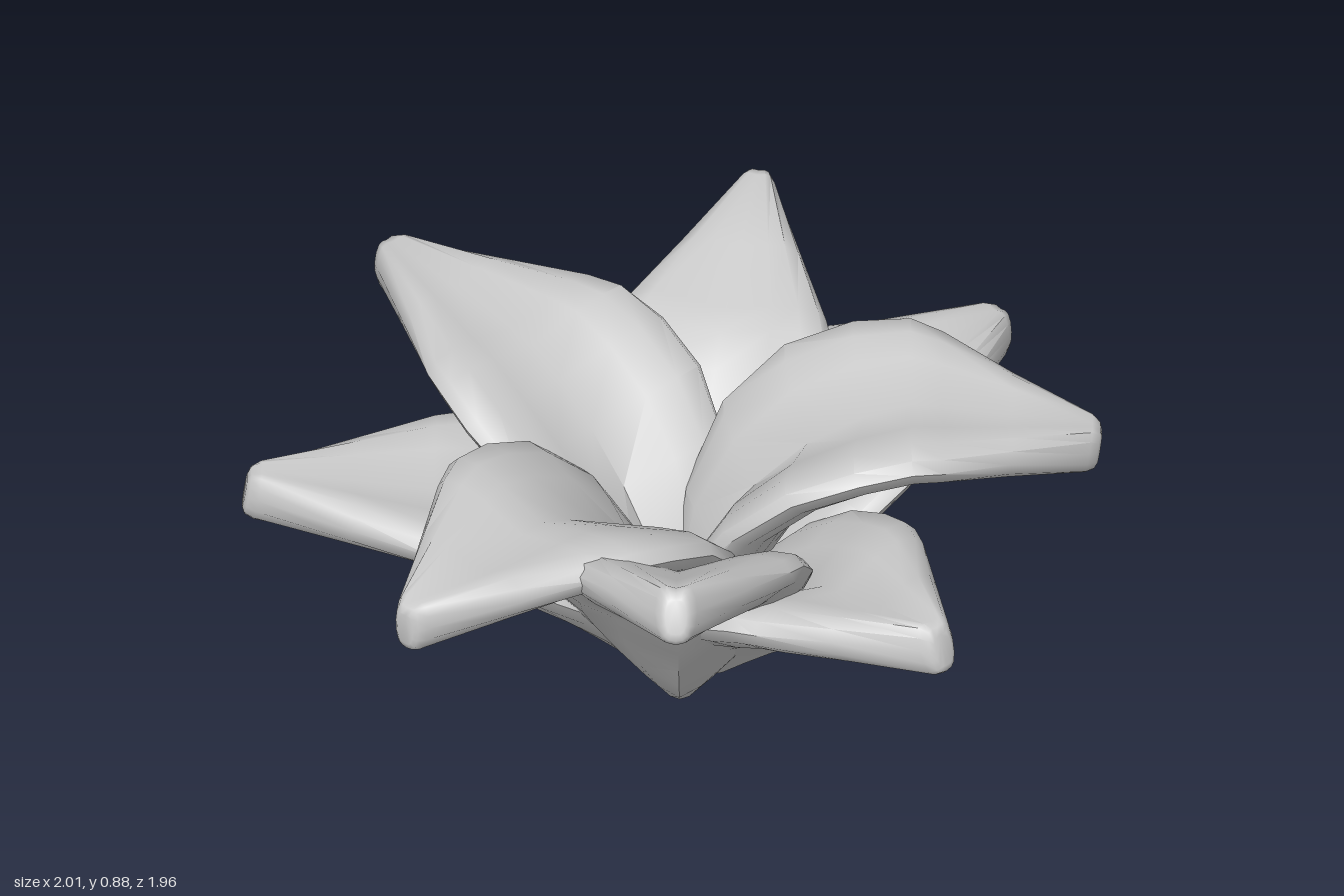
import * as THREE from 'three';
import { toCreasedNormals } from 'three/addons/utils/BufferGeometryUtils.js';

const ROOT = new THREE.Vector3(0.02, 0, 0.03);
const THICK = 0.067; // half thickness

// tip is x, y, z; root, sweep (curve handle) and bend are radius and height on the centre line
const PETALS = [
  { name: 'leftPetal', tip: [1, 0.62, 0.02], root: [0.05, 0.03], sweep: [0.15, 0.58], bend: [0.55, 0.68] },
  { name: 'rightPetal', tip: [-1, 0.495, 0.04], root: [0.05, 0.03], sweep: [0.28, 0.22], bend: [0.53, 0.42] },
  { name: 'frontPetal', tip: [0.015, 0.83, 0.95], root: [0.12, 0.03], sweep: [0.34, 0.29], bend: [0.53, 0.58] },
  { name: 'backPetal', tip: [0.2, 0.63, -0.97], root: [0.06, 0.03], sweep: [0.25, 0.32], bend: [0.54, 0.51], width: 0.9 },
  { name: 'frontLeftPetal', tip: [0.64, 0.56, 0.72], root: [0.05, 0.03], sweep: [0.26, 0.26], bend: [0.53, 0.44] },
  { name: 'backLeftPetal', tip: [0.77, 0.41, -0.71], root: [0.05, 0.03], sweep: [0.27, 0.23], bend: [0.56, 0.4] },
  { name: 'backRightPetal', tip: [-0.68, 0.61, -0.71], root: [0.05, 0.03], sweep: [0.2, 0.4], bend: [0.53, 0.57] },
  { name: 'frontRightPetal', tip: [-0.62, 0.63, 0.74], root: [0.05, 0.03], sweep: [0.15, 0.46], bend: [0.5, 0.61] },
];

// puffed V section, from the top valley round the soft edge to the keel and back
function section(w, t, cup) {
  const e = 0.55 * w;
  const half = [];
  for (let i = 0; i <= 6; i++) {
    const a = Math.PI / 2 - (i * Math.PI) / 6;
    const u = w - e + e * Math.cos(a);
    half.push([u, cup * u + t * Math.sin(a)]);
  }
  const mirrored = half.map(([u, v]) => [-u, v]).reverse();
  return [[0, t], ...half, [0, -t], ...mirrored];
}

function petalGeometry({ tip, root, sweep, bend, width = 1 }) {
  const out = new THREE.Vector3(tip[0] - ROOT.x, 0, tip[2] - ROOT.z);
  const reach = out.length();
  out.normalize();
  const up = new THREE.Vector3(0, 1, 0);
  const side = new THREE.Vector3().crossVectors(out, up);

  const vec = (p) => new THREE.Vector2(...p);
  const inner = new THREE.QuadraticBezierCurve(vec(root), vec(sweep), vec(bend));
  const outer = new THREE.LineCurve(vec(bend), new THREE.Vector2(reach, tip[1]));
  // stations: curve, position on it, half width, edge rise, thickness factor
  const stations = [
    [inner, 0, 0.05, 0.5, 0.8], [inner, 0.12, 0.11, 0.55, 0.95], [inner, 0.3, 0.2, 0.55, 1],
    [inner, 0.5, 0.27, 0.5, 1], [inner, 0.7, 0.31, 0.42, 1], [inner, 0.88, 0.315, 0.33, 1],
    [outer, 0, 0.295, 0.28, 1], [outer, 0.12, 0.265, 0.27, 1], [outer, 0.5, 0.165, 0.27, 1],
    [outer, 0.94, 0.05, 0.25, 1], [outer, 0.985, 0.036, 0.2, 0.85], [outer, 1, 0.025, 0.1, 0.6],
  ].map(([curve, f, w, cup, k]) => ({ p: curve.getPoint(f), w: w * width, cup, k }));

  const rings = stations.map(({ p, w, cup, k }, i) => {
    const prev = stations[Math.max(i - 1, 0)].p;
    const next = stations[Math.min(i + 1, stations.length - 1)].p;
    const d0 = p.clone().sub(prev).normalize();
    const d1 = next.clone().sub(p).normalize();
    const d = d0.add(d1).normalize();
    return section(w, THICK * k, cup).map(([u, v]) => {
      const q = ROOT.clone()
        .addScaledVector(out, p.x - d.y * v)
        .addScaledVector(up, p.y + d.x * v)
        .addScaledVector(side, u);
      q.y = Math.max(q.y, 0);
      return q;
    });
  });

  const n = rings[0].length;
  const positions = rings.flat().flatMap((q) => q.toArray());
  const index = [];
  for (let r = 0; r < rings.length - 1; r++) {
    for (let i = 0; i < n; i++) {
      const j = (i + 1) % n;
      const [a0, a1, b0, b1] = [r * n + i, r * n + j, (r + 1) * n + i, (r + 1) * n + j];
      index.push(a0, a1, b1, a0, b1, b0);
    }
  }
  // blunt ends
  const last = (rings.length - 1) * n;
  for (let i = 1; i < n - 1; i++) {
    index.push(0, i + 1, i);
    index.push(last, last + i, last + i + 1);
  }

  const geometry = new THREE.BufferGeometry();
  geometry.setAttribute('position', new THREE.Float32BufferAttribute(positions, 3));
  geometry.setIndex(index);
  return toCreasedNormals(geometry, 0.9);
}

export function createModel() {
  const flower = new THREE.Group();
  flower.name = 'flower';
  const material = new THREE.MeshStandardMaterial({ color: 0xcccccc });
  for (const petal of PETALS) {
    const mesh = new THREE.Mesh(petalGeometry(petal), material);
    mesh.name = petal.name;
    flower.add(mesh);
  }
  return flower;
}
